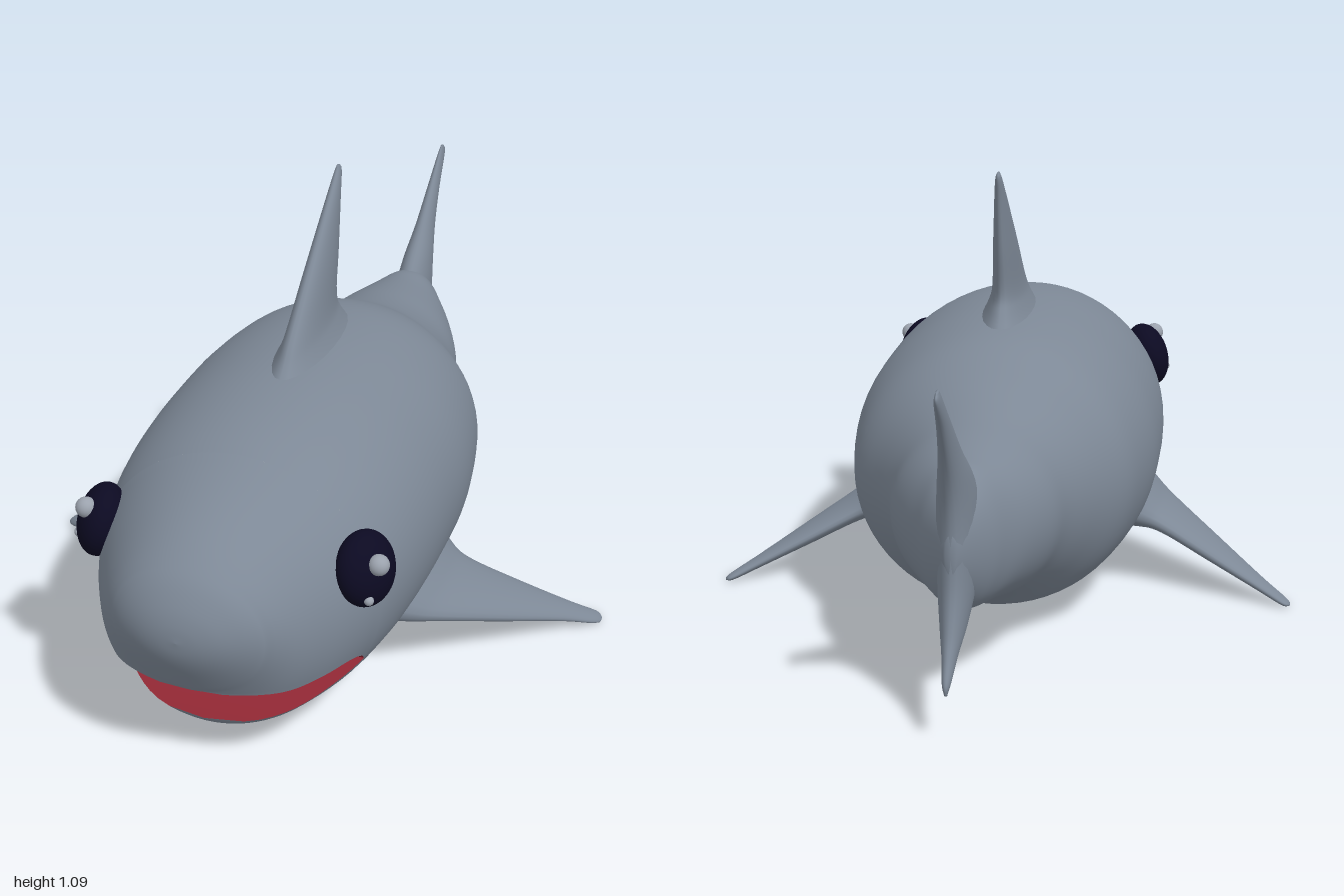
import * as THREE from 'three';

const V = (x, y, z) => new THREE.Vector3(x, y, z);
const material = (name, color) => new THREE.MeshStandardMaterial({ name, color });

// Body stations from tail to nose: z, top y, bottom y, half width
const STATIONS = [
  [-0.82, 0.44, 0.35, 0.012], [-0.79, 0.48, 0.31, 0.035], [-0.72, 0.52, 0.245, 0.08],
  [-0.67, 0.545, 0.22, 0.105], [-0.6, 0.553, 0.207, 0.145], [-0.5, 0.57, 0.18, 0.187],
  [-0.4, 0.59, 0.153, 0.211], [-0.3, 0.622, 0.11, 0.262], [-0.2, 0.674, 0.058, 0.325],
  [-0.1, 0.706, 0.032, 0.353], [0.05, 0.722, 0.018, 0.376], [0.2, 0.727, 0.014, 0.38],
  [0.35, 0.724, 0.018, 0.378], [0.5, 0.708, 0.028, 0.365], [0.63, 0.682, 0.04, 0.337],
  [0.73, 0.658, 0.06, 0.3], [0.8, 0.637, 0.085, 0.266], [0.86, 0.612, 0.135, 0.232],
  [0.91, 0.583, 0.225, 0.194], [0.95, 0.55, 0.295, 0.153], [0.98, 0.505, 0.35, 0.1],
  [0.995, 0.465, 0.39, 0.05], [1.0, 0.428, 0.428, 0.0],
];
const STEPS = 4, SIDES = 64, CORNER = 0.63, JAW_TIP = 0.86;

// Smoothly subdivide the stations
function bodyRows() {
  const sides = new THREE.CatmullRomCurve3(STATIONS.map(s => V(s[1], s[2], s[3])), false, 'catmullrom', 0.5);
  const depth = new THREE.CatmullRomCurve3(STATIONS.map(s => V(s[0], 0, 0)), false, 'catmullrom', 0.5);
  const count = (STATIONS.length - 1) * STEPS;
  return Array.from({ length: count + 1 }, (_, i) => {
    const p = sides.getPoint(i / count), z = depth.getPoint(i / count).x;
    return { z, yc: (p.x + p.y) / 2, ry: Math.max((p.x - p.y) / 2, 0), rx: Math.max(p.z, 0) };
  });
}

// Surface through rings holding equal numbers of points
function loft(rings, closed) {
  const n = rings[0].length, index = [];
  for (let i = 0; i < rings.length - 1; i++) {
    for (let j = 0; j < (closed ? n : n - 1); j++) {
      const k = (j + 1) % n;
      const a = i * n + j, b = i * n + k, c = a + n, d = b + n;
      index.push(a, b, c, b, d, c);
    }
  }
  const geometry = new THREE.BufferGeometry().setFromPoints(rings.flat());
  geometry.setIndex(index);
  geometry.computeVertexNormals();
  return geometry;
}

// Part of an elliptical cross-section between two angles
function arc(row, from, to, count) {
  return Array.from({ length: count }, (_, j) => {
    const a = from + (to - from) * j / (count - 1);
    return V(row.rx * Math.cos(a), row.yc + row.ry * Math.sin(a), row.z);
  });
}

const lipAngle = (row, y) => row.ry < 1e-5 ? -Math.PI / 2
  : Math.asin(THREE.MathUtils.clamp((y - row.yc) / row.ry, -1, 1));

// Upper and lower lip heights along the head
function upperLip(z) {
  const t = THREE.MathUtils.clamp((z - CORNER) / 0.12, 0, 1);
  return 0.258 - 0.048 * (1 - t) ** 3;
}
function lowerLip(z) {
  const t = THREE.MathUtils.clamp((z - CORNER) / (JAW_TIP - CORNER), 0, 1);
  return 0.135 + 0.075 * (1 - t) ** 1.3;
}

// Fin from sections of [leading point, trailing point, half thickness]
function fin(sections, thicknessDir) {
  const path = k => new THREE.CatmullRomCurve3(sections.map(s => k < 2 ? V(...s[k]) : V(s[2], 0, 0)), false, 'catmullrom', 0.5);
  const lead = path(0), trail = path(1), thick = path(2);
  const count = (sections.length - 1) * 6;
  const middle = t => lead.getPoint(t).add(trail.getPoint(t)).multiplyScalar(0.5);
  const chord0 = lead.getPoint(0.5).sub(trail.getPoint(0.5));
  const span = middle(1).sub(middle(0));
  const side = thicknessDir.clone().normalize();
  if (chord0.cross(side).dot(span) < 0) side.negate();
  const rings = [];
  for (let i = 0; i <= count; i++) {
    const t = i / count, c = middle(t);
    const half = lead.getPoint(t).sub(trail.getPoint(t)).multiplyScalar(0.5);
    rings.push(Array.from({ length: 24 }, (_, j) => {
      const a = j / 24 * Math.PI * 2;
      return c.clone().addScaledVector(half, Math.cos(a)).addScaledVector(side, thick.getPoint(t).x * Math.sin(a));
    }));
  }
  // Close both ends
  rings.unshift(rings[0].map(() => middle(0)));
  rings.push(rings[1].map(() => middle(1)));
  return loft(rings, true);
}

export function createModel() {
  const model = new THREE.Group();
  model.name = 'shark';
  const skin = material('greySkin', 0x7d8896);
  const red = material('mouthRed', 0x8f2733);
  red.side = THREE.DoubleSide;
  const dark = material('eyeDark', 0x0c0a22);
  const shine = material('eyeShine', 0x9ba2ad);
  const add = (name, geometry, mat) => {
    const mesh = new THREE.Mesh(geometry, mat);
    mesh.name = name;
    model.add(mesh);
    return mesh;
  };

  // Trunk behind the mouth, then the head above and jaw below it
  const rows = bodyRows();
  const trunk = rows.filter(r => r.z <= CORNER + 1e-4);
  const head = rows.filter(r => r.z >= CORNER - 1e-4);
  const jaw = head.filter(r => r.z <= JAW_TIP + 1e-4);
  const trunkRings = trunk.map(r => arc(r, 0, Math.PI * 2, SIDES + 1).slice(0, SIDES));
  trunkRings.unshift(trunkRings[0].map(() => V(0, trunk[0].yc, trunk[0].z)));
  add('trunk', loft(trunkRings, true), skin);
  const upper = head.map(r => {
    const a = lipAngle(r, upperLip(r.z));
    return arc(r, a, Math.PI - a, SIDES);
  });
  const lower = jaw.map(r => {
    const a = lipAngle(r, lowerLip(r.z));
    return arc(r, Math.PI - a, Math.PI * 2 + a, SIDES);
  });
  add('upperHead', loft(upper, false), skin);
  add('lowerJaw', loft(lower, false), skin);

  // Mouth lining spans the lip edges
  const lining = rings => loft(rings.map(r => [r[SIDES - 1].clone(), r[0].clone()]), false);
  add('mouthRoof', lining(upper), red);
  add('mouthFloor', lining(lower), red);

  // Dorsal fin, flared where it meets the back
  add('dorsalFin', fin([
    [[0, 0.68, 0.4], [0, 0.68, -0.1], 0.085],
    [[0, 0.74, 0.33], [0, 0.74, -0.045], 0.052],
    [[0, 0.79, 0.28], [0, 0.79, -0.022], 0.037],
    [[0, 0.9, 0.155], [0, 0.9, -0.043], 0.027],
    [[0, 1.02, 0.015], [0, 1.02, -0.066], 0.015],
    [[0, 1.075, -0.045], [0, 1.075, -0.08], 0.008],
    [[0, 1.092, -0.06], [0, 1.09, -0.074], 0.003],
  ], V(1, 0, 0)), skin);

  // Tail fin with a tall upper and a short lower lobe
  add('tailFin', fin([
    [[0, 0.108, -0.89], [0, 0.112, -0.904], 0.003],
    [[0, 0.135, -0.862], [0, 0.135, -0.905], 0.01],
    [[0, 0.18, -0.79], [0, 0.18, -0.876], 0.018],
    [[0, 0.23, -0.7], [0, 0.23, -0.85], 0.03],
    [[0, 0.31, -0.62], [0, 0.31, -0.826], 0.042],
    [[0, 0.4, -0.6], [0, 0.4, -0.82], 0.046],
    [[0, 0.48, -0.61], [0, 0.48, -0.826], 0.044],
    [[0, 0.55, -0.67], [0, 0.55, -0.845], 0.036],
    [[0, 0.62, -0.762], [0, 0.62, -0.88], 0.024],
    [[0, 0.7, -0.855], [0, 0.7, -0.933], 0.015],
    [[0, 0.77, -0.935], [0, 0.77, -0.993], 0.008],
    [[0, 0.795, -0.965], [0, 0.792, -0.985], 0.003],
  ], V(1, 0, 0)), skin);

  // Paired pectoral fins and eyes
  for (const s of [1, -1]) {
    const side = s > 0 ? 'left' : 'right';
    add(side + 'PectoralFin', fin([
      [[s * 0.28, 0.225, 0.48], [s * 0.28, 0.225, 0.04], 0.085],
      [[s * 0.345, 0.192, 0.425], [s * 0.345, 0.192, 0.09], 0.052],
      [[s * 0.4, 0.166, 0.37], [s * 0.4, 0.166, 0.1], 0.034],
      [[s * 0.52, 0.106, 0.24], [s * 0.52, 0.106, 0.066], 0.024],
      [[s * 0.64, 0.047, 0.11], [s * 0.64, 0.047, 0.026], 0.014],
      [[s * 0.7, 0.018, 0.055], [s * 0.7, 0.018, 0.002], 0.009],
      [[s * 0.718, 0.01, 0.034], [s * 0.718, 0.01, 0.012], 0.004],
    ], V(s * 0.44, 0.9, 0)), skin);

    const eye = add(side + 'Eye', new THREE.SphereGeometry(1, 32, 20), dark);
    eye.scale.set(0.055, 0.086, 0.083);
    eye.position.set(s * 0.312, 0.48, 0.672);
    eye.rotation.set(0, -s * 0.3, s * 0.25);
  }

  // Eye highlights share one light direction, so the two sides differ
  [[0.352, 0.515, 0.703, 0.024], [0.339, 0.437, 0.73, 0.011],
    [-0.328, 0.533, 0.716, 0.024], [-0.362, 0.446, 0.69, 0.011]].forEach(([x, y, z, r]) => {
    const spot = add('eyeHighlight', new THREE.SphereGeometry(r, 20, 14), shine);
    spot.position.set(x, y, z);
  });
  return model;
}
